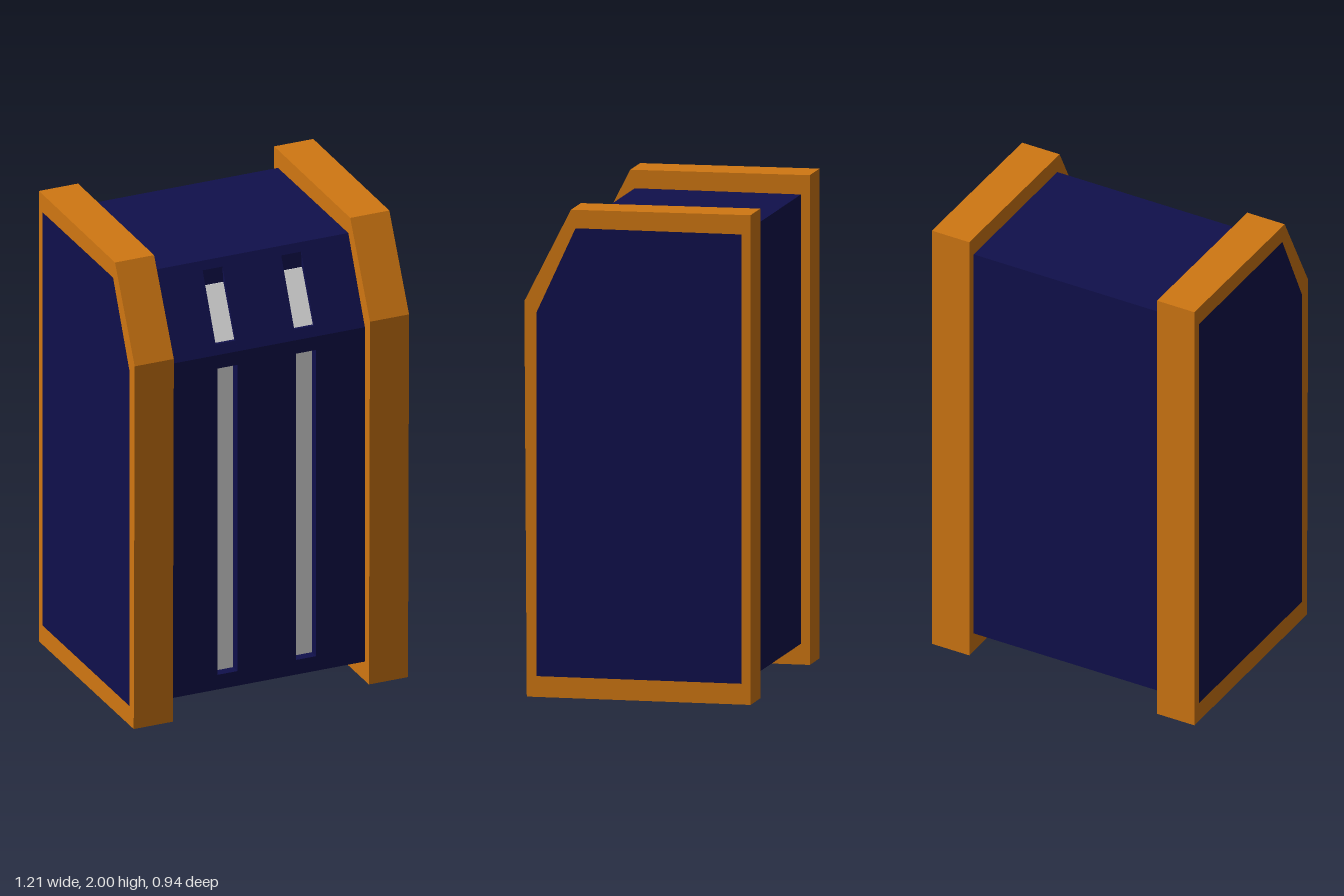
import * as THREE from 'three';

const navy = new THREE.MeshStandardMaterial({ color: 0x10104c });
navy.name = 'navy';
const orange = new THREE.MeshStandardMaterial({ color: 0xd07712 });
orange.name = 'orange';
const white = new THREE.MeshStandardMaterial({ color: 0xffffff });
white.name = 'white';

// Side profiles as [z, y] points
const bodyProfile = [[-0.43, 0.085], [0.42, 0.085], [0.42, 1.57], [0.258, 1.92], [-0.43, 1.92]];
const frameProfile = [[-0.467, 0], [0.46, 0], [0.47, 1.615], [0.277, 1.995], [-0.467, 2]];
const slottedProfile = [
  [-0.43, 0.085], [0.42, 0.085],
  [0.42, 0.15], [0.375, 0.15], [0.375, 1.51], [0.42, 1.51], // tall lower slot
  [0.42, 1.57],
  [0.401, 1.61], [0.385, 1.61], [0.28, 1.82], [0.274, 1.885], // short slot on the slope
  [0.258, 1.92], [-0.43, 1.92],
];
const lowerStripProfile = [[0.374, 0.15], [0.378, 0.15], [0.378, 1.51], [0.374, 1.51]];
const upperStripProfile = [[0.384, 1.61], [0.388, 1.61], [0.283, 1.82], [0.279, 1.82]];

const toPoints = (list) => list.map(([z, y]) => new THREE.Vector2(z, y));

// Extrudes a side profile from x0 to x1
function slab(name, profile, x0, x1, material, hole) {
  const shape = new THREE.Shape(toPoints(profile));
  if (hole) shape.holes.push(new THREE.Path(toPoints(hole)));
  const geometry = new THREE.ExtrudeGeometry(shape, { depth: x1 - x0, bevelEnabled: false });
  geometry.rotateY(-Math.PI / 2).translate(x1, 0, 0);
  const mesh = new THREE.Mesh(geometry, material);
  mesh.name = name;
  return mesh;
}

export function createModel() {
  const model = new THREE.Group();
  model.name = 'cabinet';
  const outer = 0.607, inner = 0.434, slotOut = 0.218, slotIn = 0.13;

  // Body: plain slices alternating with slotted slices
  const body = new THREE.Group();
  body.name = 'body';
  body.add(slab('bodyCentre', bodyProfile, -slotIn, slotIn, navy));
  model.add(body);

  for (const [side, s] of [['left', 1], ['right', -1]]) {
    const span = (a, b) => (s > 0 ? [a, b] : [-b, -a]);
    body.add(slab(side + 'BodySide', bodyProfile, ...span(slotOut, outer), navy));
    body.add(slab(side + 'BodySlotted', slottedProfile, ...span(slotIn, slotOut), navy));

    // Light strips on the slot floors
    model.add(slab(side + 'LowerStrip', lowerStripProfile, ...span(slotIn, slotOut), white));
    model.add(slab(side + 'UpperStrip', upperStripProfile, ...span(slotIn, slotOut), white));

    // Border frame around each end, flush with the side panel
    model.add(slab(side + 'Frame', frameProfile, ...span(inner, outer), orange, bodyProfile));
  }
  return model;
}
